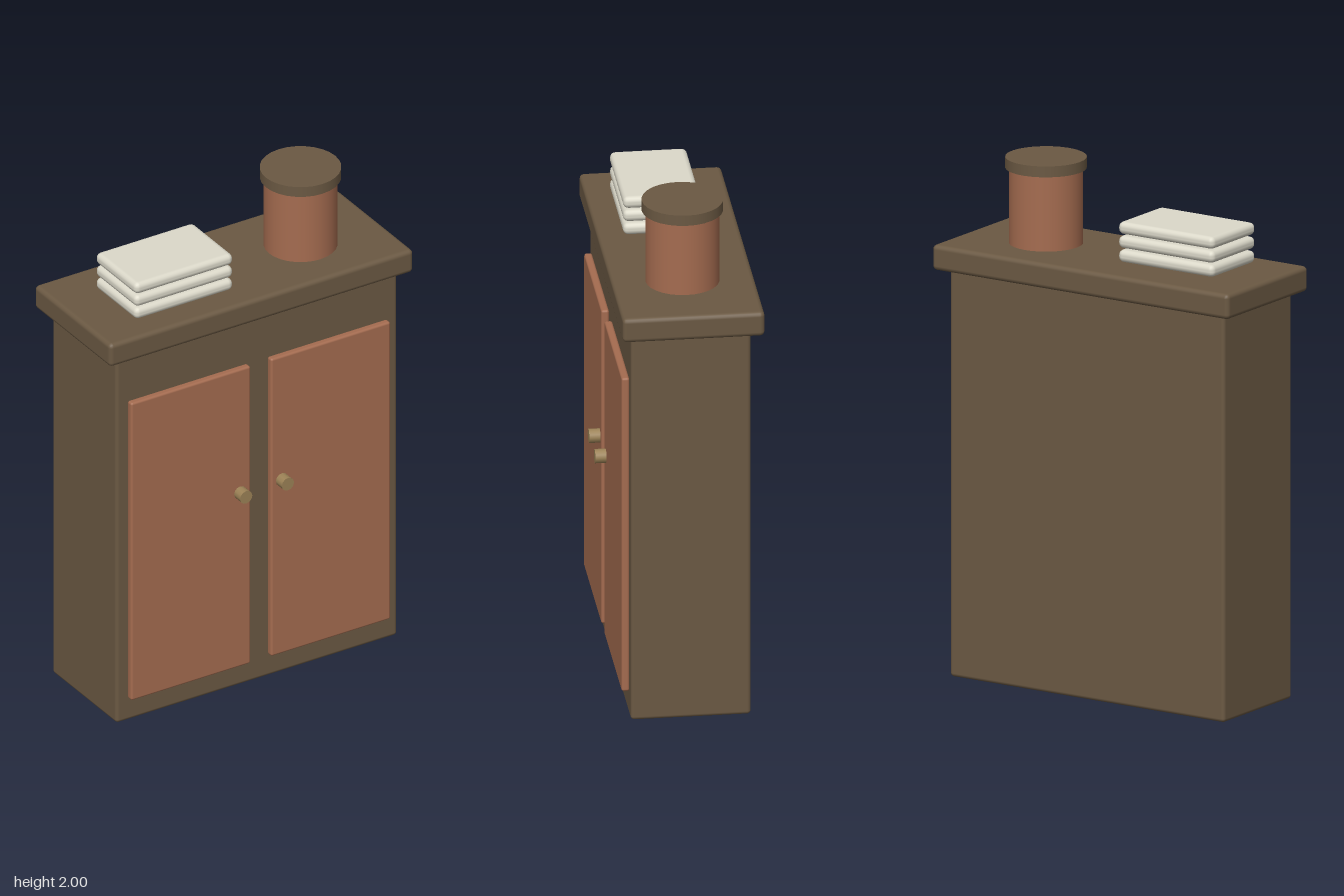
import * as THREE from 'three';
import { RoundedBoxGeometry } from 'three/addons/geometries/RoundedBoxGeometry.js';

const paint = (color) => new THREE.MeshStandardMaterial({ color });

export function createModel() {
  const model = new THREE.Group();
  const wood = paint(0x6b5943);
  const terracotta = paint(0xa56c50);
  const brass = paint(0x9c8256);
  const linen = paint(0xdcd9ca);

  const add = (name, geometry, material, x, y, z) => {
    const mesh = new THREE.Mesh(geometry, material);
    mesh.name = name;
    mesh.position.set(x, y, z);
    model.add(mesh);
    return mesh;
  };

  // Softly bevelled box given by its extents
  const box = (name, material, [x0, x1], [y0, y1], [z0, z1], radius) =>
    add(name, new RoundedBoxGeometry(x1 - x0, y1 - y0, z1 - z0, 2, radius), material,
      (x0 + x1) / 2, (y0 + y1) / 2, (z0 + z1) / 2);

  // Cabinet
  box('cabinetBody', wood, [-0.62, 0.62], [0, 1.575], [-0.238, 0.214], 0.014);
  box('cabinetTop', wood, [-0.67, 0.67], [1.57, 1.668], [-0.285, 0.25], 0.018);

  // Doors with knobs
  for (const [side, s] of [['right', -1], ['left', 1]]) {
    const xs = [s * 0.045, s * 0.572].sort((a, b) => a - b);
    box(side + 'Door', terracotta, xs, [0.098, 1.383], [0.213, 0.243], 0.009);
    const knob = add(side + 'Knob', new THREE.CylinderGeometry(0.027, 0.027, 0.044, 12),
      brass, s * 0.092, 0.851, 0.263);
    knob.rotation.x = Math.PI / 2;
  }

  // Stack of folded cloths
  for (let i = 0; i < 3; i++) {
    const y = 1.675 + i * 0.054;
    box('foldedCloth' + (i + 1), linen, [-0.498, -0.065], [y, y + 0.048], [-0.133, 0.157], 0.021);
  }

  // Lidded canister
  add('canister', new THREE.CylinderGeometry(0.139, 0.139, 0.3, 28), terracotta, 0.336, 1.816, -0.015);
  add('canisterLid', new THREE.CylinderGeometry(0.153, 0.153, 0.042, 28), wood, 0.336, 1.979, -0.015);

  return model;
}
